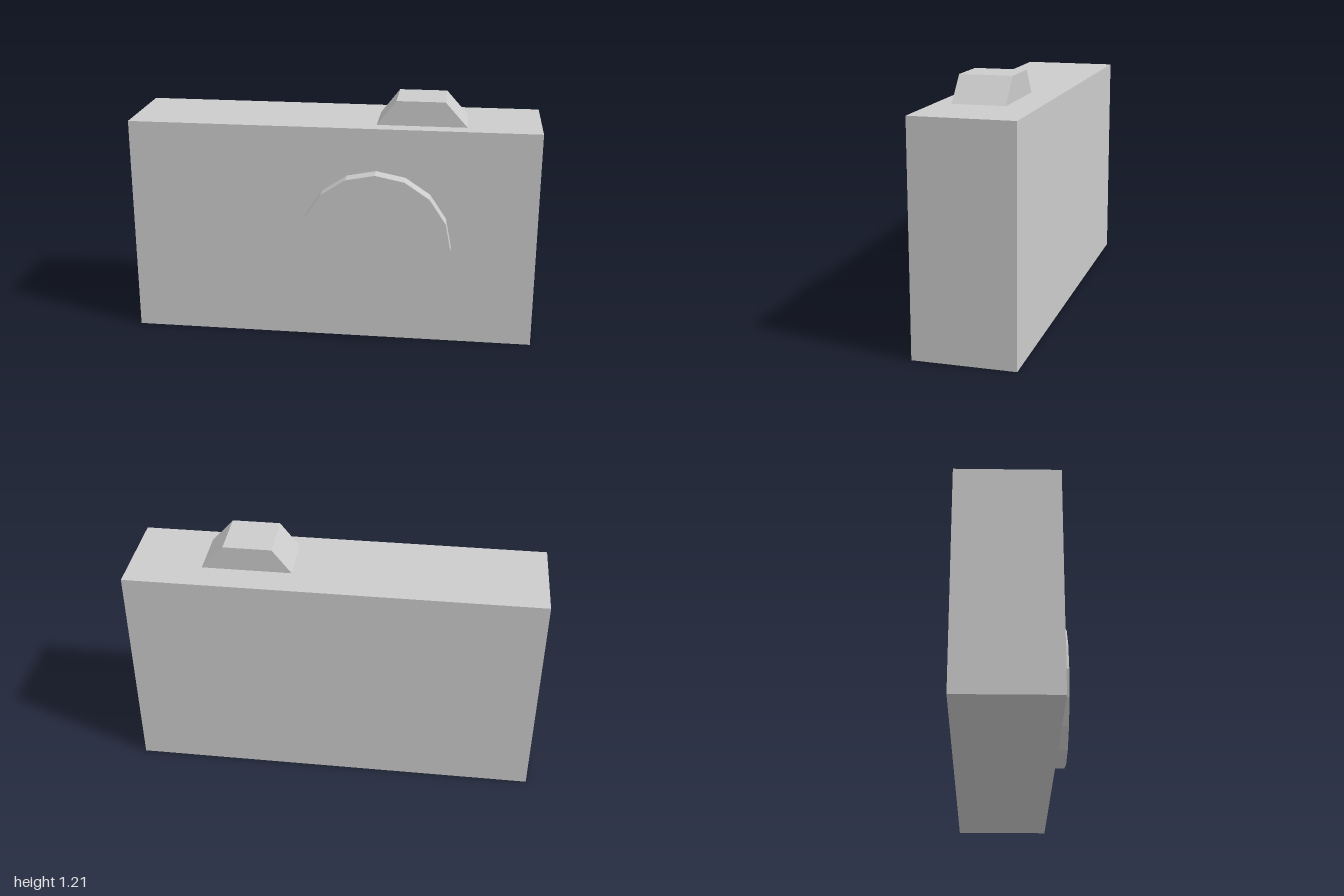
import * as THREE from 'three';

export function createModel() {
  const group = new THREE.Group();
  const material = new THREE.MeshStandardMaterial({ color: 0xcccccc, flatShading: true });

  const add = (name, geometry, x, y, z) => {
    const mesh = new THREE.Mesh(geometry, material);
    mesh.name = name;
    mesh.position.set(x, y, z);
    group.add(mesh);
  };

  // Camera body: a plain box
  const bodyHeight = 1.087, bodyBack = -0.28, bodyFront = 0.203;
  const bodyDepth = bodyFront - bodyBack;
  add('body', new THREE.BoxGeometry(2, bodyHeight, bodyDepth),
    0, bodyHeight / 2, (bodyBack + bodyFront) / 2);

  // Lens: a shallow 16-sided disc on the front
  const lensDepth = 0.077;
  const lens = new THREE.CylinderGeometry(0.371, 0.371, lensDepth, 16);
  lens.rotateX(Math.PI / 2);
  add('lens', lens, 0.218, 0.508, bodyFront + lensDepth / 2);

  // Viewfinder hump: a trapezoid extruded front to back
  const profile = new THREE.Shape([
    new THREE.Vector2(0.211, 0),
    new THREE.Vector2(0.646, 0),
    new THREE.Vector2(0.538, 0.12),
    new THREE.Vector2(0.304, 0.12),
  ]);
  const hump = new THREE.ExtrudeGeometry(profile, { depth: 0.252, bevelEnabled: false });
  add('viewfinderHump', hump, 0, bodyHeight, -0.129);

  return group;
}
